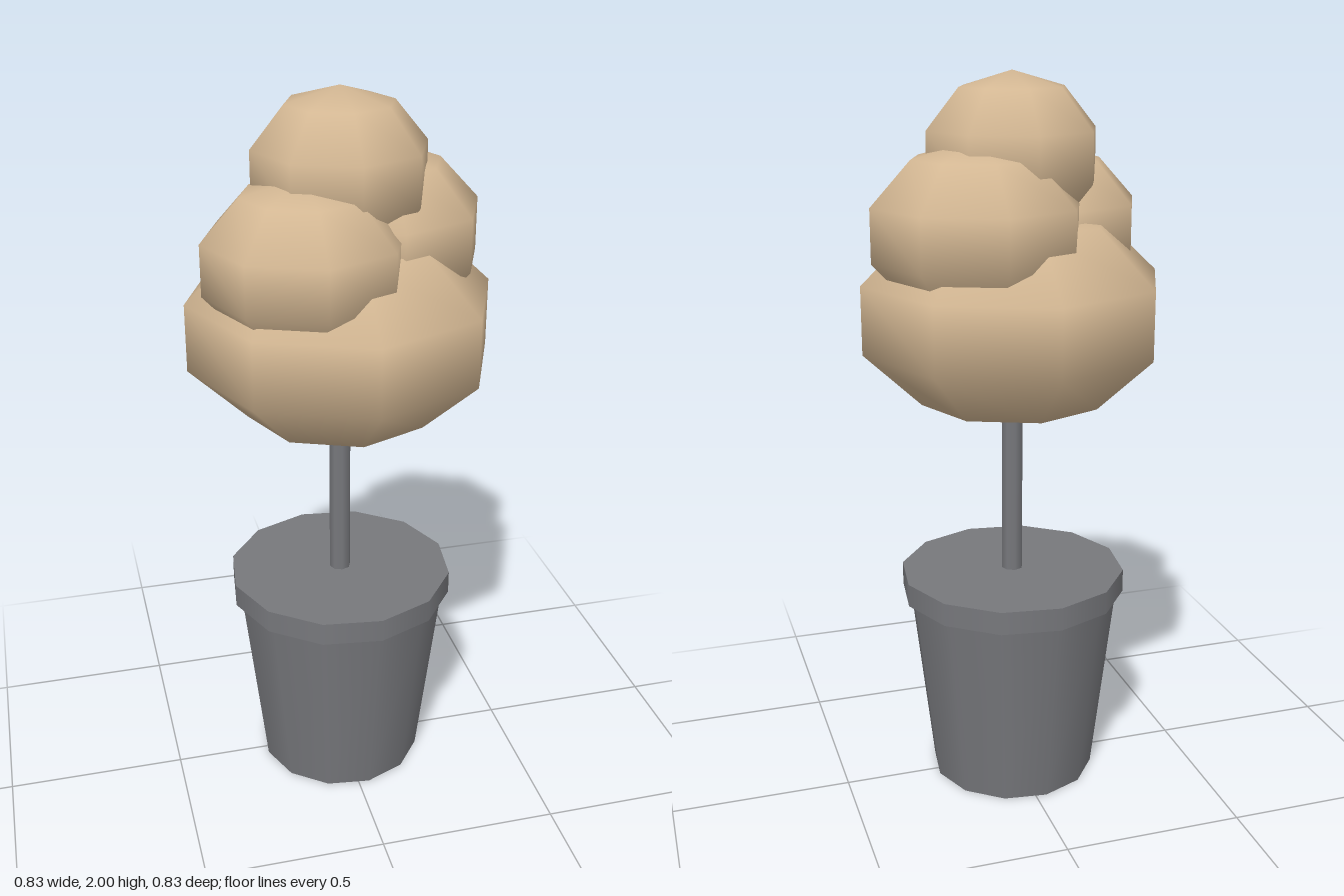
import * as THREE from 'three';

const foliageMat = new THREE.MeshStandardMaterial({ color: 0xd3b793 });
const potMat = new THREE.MeshStandardMaterial({ color: 0x77787c });

// Tapered round part standing between two heights
function taper(name, rTop, rBottom, y0, y1, sides, phase) {
  const geo = new THREE.CylinderGeometry(rTop, rBottom, y1 - y0, sides, 1, false, phase);
  const mesh = new THREE.Mesh(geo, potMat);
  mesh.name = name;
  mesh.position.y = (y0 + y1) / 2;
  return mesh;
}

// Squashed low-poly ball of leaves
function clump(name, x, y, z, radius, height) {
  const mesh = new THREE.Mesh(new THREE.SphereGeometry(1, 8, 5), foliageMat);
  mesh.name = name;
  mesh.scale.set(radius, height, radius);
  mesh.position.set(x, y, z);
  return mesh;
}

export function createModel() {
  const tree = new THREE.Group();
  tree.name = 'pottedTree';
  const phase = Math.PI / 24;

  // Pot, rim and trunk
  tree.add(
    taper('pot', 0.299, 0.234, 0, 0.56, 12, phase),
    taper('potRim', 0.318, 0.318, 0.555, 0.62, 12, phase),
    taper('trunk', 0.03, 0.03, 0.6, 1.25, 8, 0),
  );

  // Foliage
  tree.add(
    clump('lowerFoliage', 0, 1.368, 0, 0.436, 0.3),
    clump('frontFoliage', -0.117, 1.583, 0.1, 0.279, 0.22),
    clump('backFoliage', 0.115, 1.6, -0.068, 0.297, 0.232),
    clump('topFoliage', 0, 1.785, 0, 0.244, 0.215),
  );
  return tree;
}
